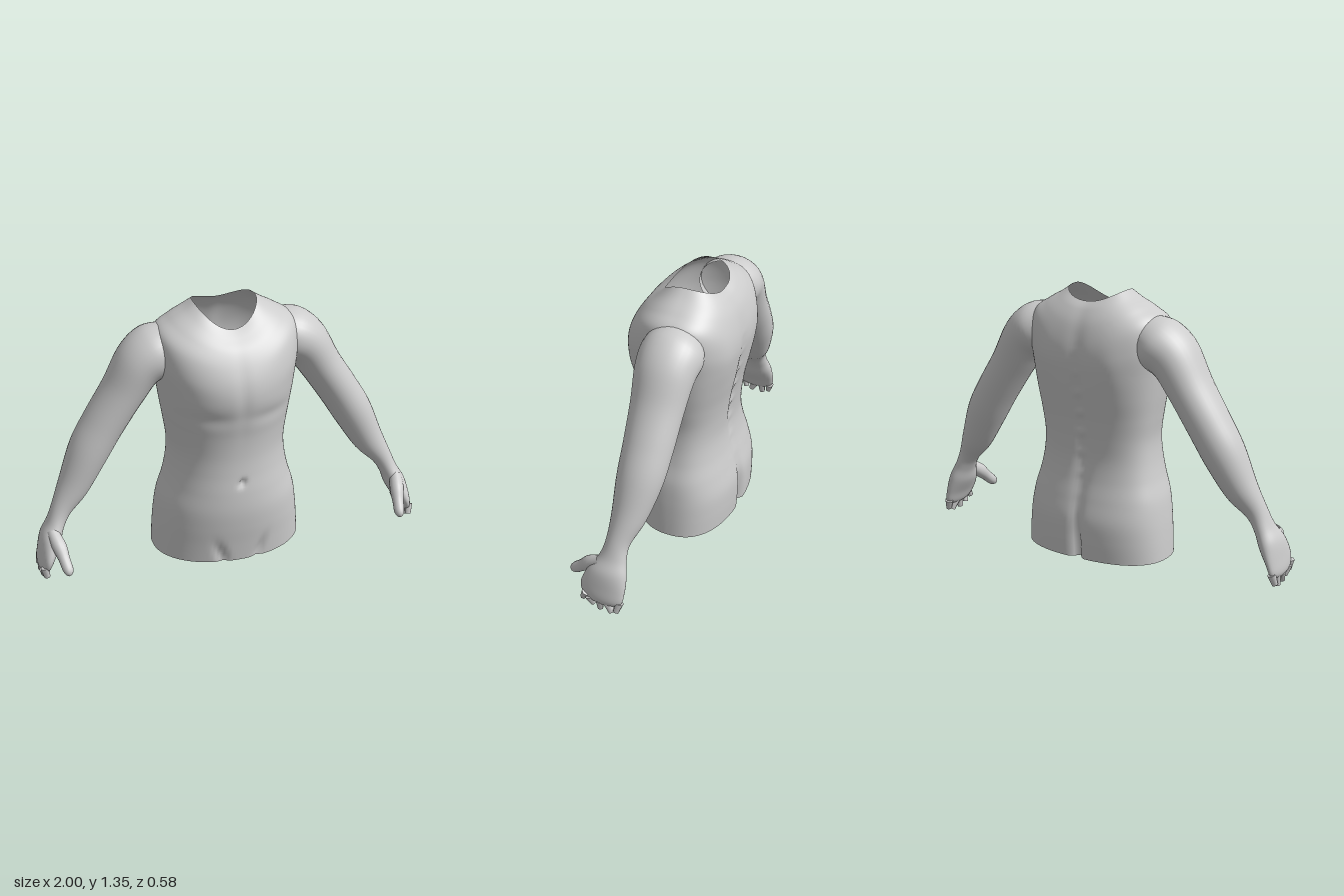
import * as THREE from 'three';

const skin = new THREE.MeshStandardMaterial({ color: 0xcccccc, side: THREE.DoubleSide });
skin.name = 'plain grey';

// Smooth interpolation through a table of cross-section rows, t in 0..1
function sample(rows, t) {
  const p = t * (rows.length - 1);
  const i = Math.min(Math.floor(p), rows.length - 2);
  const f = p - i;
  const at = k => rows[Math.max(0, Math.min(rows.length - 1, k))];
  return rows[i].map((_, c) => {
    const a = at(i - 1)[c], b = at(i)[c], d = at(i + 1)[c], e = at(i + 2)[c];
    return b + 0.5 * f * (d - a + f * (2 * a - 5 * b + 4 * d - e + f * (3 * (b - d) + e - a)));
  });
}

// Skin of closed rings: point(t, angle) returns [x, y, z]
function loft(name, steps, sides, point, flip = false) {
  const pos = [], index = [];
  for (let i = 0; i <= steps; i++) {
    for (let j = 0; j < sides; j++) pos.push(...point(i / steps, (j / sides) * Math.PI * 2));
  }
  for (let i = 0; i < steps; i++) {
    for (let j = 0; j < sides; j++) {
      const k = (j + 1) % sides;
      const a = i * sides + j, b = i * sides + k, c = a + sides, d = b + sides;
      if (flip) index.push(a, b, c, b, d, c);
      else index.push(a, c, b, b, c, d);
    }
  }
  const g = new THREE.BufferGeometry();
  g.setAttribute('position', new THREE.Float32BufferAttribute(pos, 3));
  g.setIndex(index);
  g.computeVertexNormals();
  const mesh = new THREE.Mesh(g, skin);
  mesh.name = name;
  return mesh;
}

const bump = (v, centre, width) => Math.exp(-(((v - centre) / width) ** 2));

// Torso rows: half width, front z, back z, height at side, front, back
const TORSO = [
  [0.385, 0.235, -0.28, 0.02, 0.02, 0.02],
  [0.378, 0.248, -0.286, 0.12, 0.12, 0.12],
  [0.368, 0.262, -0.284, 0.22, 0.22, 0.22],
  [0.352, 0.27, -0.262, 0.32, 0.32, 0.32],
  [0.322, 0.266, -0.238, 0.42, 0.42, 0.42],
  [0.302, 0.255, -0.226, 0.52, 0.52, 0.52],
  [0.296, 0.25, -0.231, 0.62, 0.62, 0.62],
  [0.31, 0.257, -0.245, 0.73, 0.73, 0.73],
  [0.327, 0.277, -0.266, 0.84, 0.84, 0.84],
  [0.343, 0.291, -0.283, 0.96, 0.94, 0.95],
  [0.36, 0.282, -0.289, 1.1, 1.02, 1.03],
  [0.345, 0.25, -0.28, 1.22, 1.1, 1.11],
  [0.275, 0.206, -0.253, 1.275, 1.17, 1.2],
  [0.2, 0.155, -0.215, 1.318, 1.217, 1.265],
  [0.155, 0.113, -0.18, 1.35, 1.25, 1.3],
];

function torsoPoint(t, angle) {
  const [w, front, back, ySide, yFront, yBack] = sample(TORSO, t);
  const c = Math.cos(angle), s = Math.sin(angle);
  const isFront = s >= 0;
  const n = isFront ? 2.1 : 2.5;
  const depth = Math.pow(Math.max(0, 1 - Math.abs(c) ** n), 1 / n);
  const mid = -0.04;
  const x = w * c;
  const y = ySide + ((isFront ? yFront : yBack) - ySide) * s * s;
  let z = mid + depth * ((isFront ? front : back) - mid);
  if (isFront && depth > 0.3) {
    // navel, chest centre line, lower edge of chest and groin folds
    z -= 0.025 * bump(x, 0, 0.014) * bump(y, 0.48, 0.02);
    z -= 0.006 * bump(x, 0, 0.03) * bump(y, 0.95, 0.16);
    z -= 0.008 * bump(y, 0.84, 0.04) * bump(Math.abs(x), 0.15, 0.12);
    z -= 0.02 * bump(Math.abs(x), 0.1 + 0.3 * (y - 0.06), 0.022) * bump(y, 0.06, 0.07);
  } else if (!isFront) {
    // spine groove, knobs of the spine and cleft
    z += 0.018 * bump(x, 0, 0.04) * bump(y, 0.7, 0.42);
    z -= 0.009 * bump(x, 0, 0.02) * Math.max(0, Math.sin(y * 60)) * bump(y, 0.72, 0.25);
    z += 0.045 * bump(x, 0, 0.022) * bump(y, 0.06, 0.17);
    // shoulder blades
    z -= 0.008 * bump(Math.abs(x), 0.19, 0.07) * bump(y, 1.0, 0.13);
  }
  return [x, y, z];
}

// Arm rows: centre x, y, z, half thickness, half depth in z, tilt in degrees
const ARM = [
  [0.27, 1.14, -0.06, 0.11, 0.13, 72],
  [0.345, 1.11, -0.065, 0.133, 0.155, 62],
  [0.43, 1.05, -0.062, 0.122, 0.147, 48],
  [0.51, 0.92, -0.062, 0.107, 0.132, 32],
  [0.613, 0.76, -0.062, 0.104, 0.122, 34],
  [0.7, 0.615, -0.055, 0.102, 0.112, 37],
  [0.785, 0.45, -0.036, 0.08, 0.084, 34],
  [0.855, 0.345, -0.012, 0.053, 0.06, 30],
  [0.893, 0.27, 0.0, 0.046, 0.07, 26],
  [0.925, 0.2, 0.016, 0.052, 0.1, 24],
  [0.955, 0.12, 0.028, 0.038, 0.114, 22],
  [0.972, 0.06, 0.02, 0.026, 0.09, 20],
  [0.978, 0.035, 0.015, 0.003, 0.01, 20],
];

// Thumb rows: centre x, y, z, radius
const THUMB = [
  [0.915, 0.25, 0.05, 0.03],
  [0.9, 0.205, 0.115, 0.037],
  [0.888, 0.16, 0.165, 0.029],
  [0.88, 0.125, 0.205, 0.027],
  [0.878, 0.108, 0.226, 0.017],
  [0.878, 0.1, 0.233, 0.001],
];

function buildArm(side, label) {
  const arm = new THREE.Group();
  arm.name = label + 'Arm';
  const flip = side < 0;

  arm.add(loft(label + 'ArmAndPalm', 72, 32, (t, a) => {
    const [x, y, z, r, rz, tilt] = sample(ARM, t);
    const k = THREE.MathUtils.degToRad(tilt);
    const off = r * Math.cos(a);
    return [side * (x + off * Math.cos(k)), y + off * Math.sin(k), z + rz * Math.sin(a)];
  }, flip));

  arm.add(loft(label + 'Thumb', 20, 16, (t, a) => {
    const [x, y, z, r] = sample(THUMB, t);
    const off = r * Math.sin(a);
    return [side * (x + r * Math.cos(a)), y + off * 0.77, z + off * 0.64];
  }, flip));

  // Short ragged finger stubs along the lower edge of the palm
  const stubs = [[-0.058, 0.028], [-0.015, 0.014], [0.035, 0.016], [0.082, 0.03], [0.115, 0.05]];
  stubs.forEach(([z, tip], i) => {
    const stub = new THREE.Mesh(new THREE.CylinderGeometry(0.022, 0.015, 0.055, 7), skin);
    stub.name = label + 'FingerStub' + (i + 1);
    stub.position.set(side * 0.973, tip + 0.015, z);
    stub.rotation.set(0.25 * (i % 2 ? 1 : -1), i, side * 0.25);
    arm.add(stub);
  });
  return arm;
}

export function createModel() {
  const model = new THREE.Group();
  model.name = 'torsoWithArms';
  model.add(loft('torso', 112, 112, torsoPoint));
  model.add(buildArm(1, 'left'), buildArm(-1, 'right'));
  return model;
}
